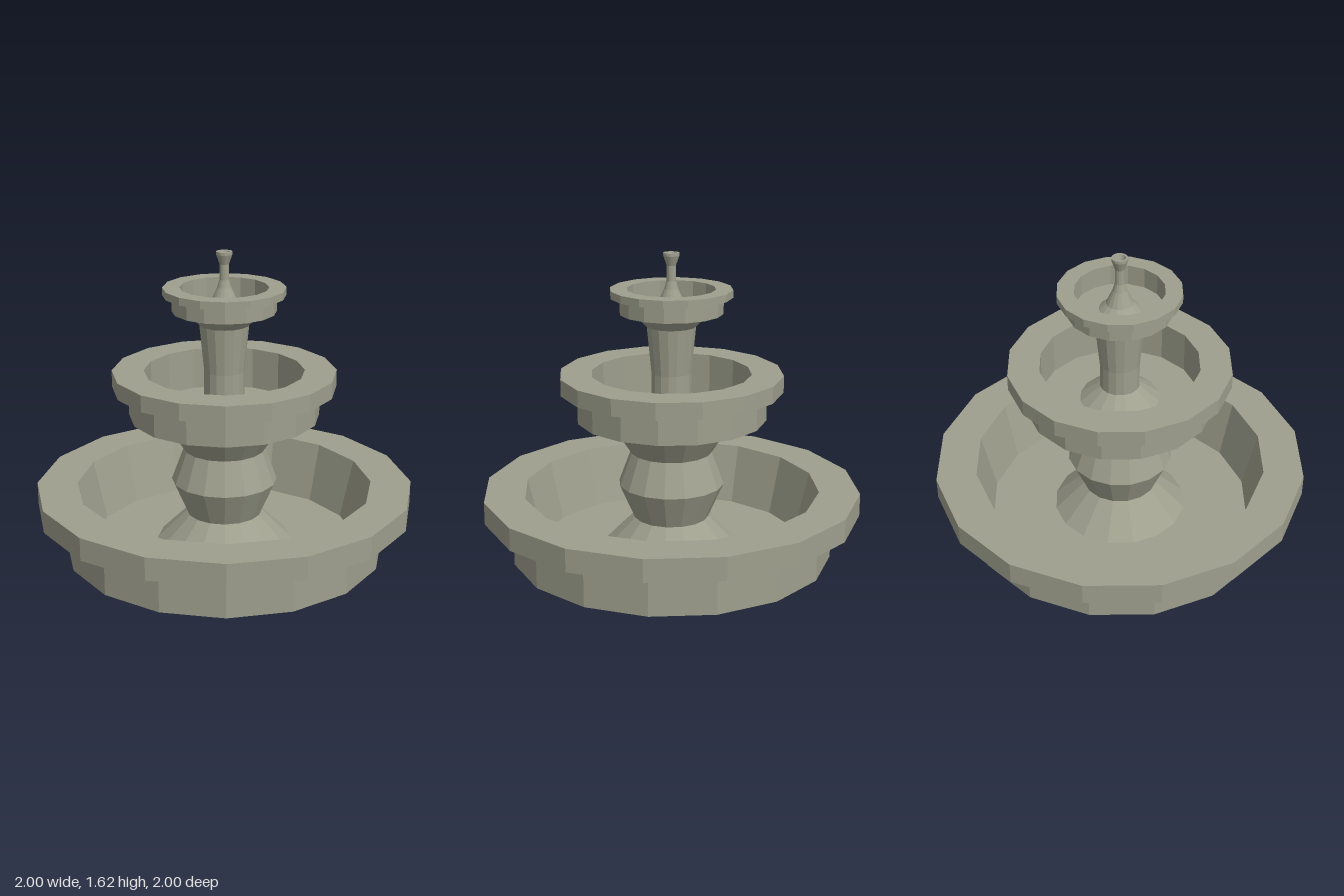
import * as THREE from 'three';

const SIDES = 16;
const stone = new THREE.MeshStandardMaterial({ color: 0x9e9f8d, flatShading: true });

// Faceted turned part; the profile [radius, y] runs up the outside and back down the inside
function turned(name, profile) {
  const points = profile.map(([r, y]) => new THREE.Vector2(r, y));
  const mesh = new THREE.Mesh(new THREE.LatheGeometry(points, SIDES), stone);
  mesh.name = name;
  return mesh;
}

// Hollow basin with a flat overhanging rim
function basin(name, { bottom, lip, top, floor, body, rim, mouth, well }) {
  return turned(name, [
    [0, bottom], [body, bottom], [body, lip], [rim, lip], [rim, top],
    [mouth, top], [well, floor], [0, floor],
  ]);
}

export function createModel() {
  const fountain = new THREE.Group();
  fountain.name = 'fountain';

  fountain.add(
    // Three tiers of basins
    basin('lowerBasin', { bottom: 0, lip: 0.24, top: 0.36, floor: 0.04, body: 0.853, rim: 1, mouth: 0.785, well: 0.71 }),
    basin('middleBasin', { bottom: 0.745, lip: 0.9, top: 0.988, floor: 0.765, body: 0.5, rim: 0.586, mouth: 0.42, well: 0.42 }),
    basin('upperBasin', { bottom: 1.305, lip: 1.39, top: 1.43, floor: 1.32, body: 0.27, rim: 0.318, mouth: 0.23, well: 0.23 }),

    // Waisted pedestal between the lower and middle basins
    turned('pedestal', [[0.36, 0.04], [0.2, 0.2], [0.28, 0.385], [0.215, 0.56], [0.335, 0.745]]),

    // Slim column with a spreading foot and a flared head
    turned('column', [[0.21, 0.765], [0.105, 0.85], [0.105, 0.988], [0.129, 1.235], [0.198, 1.305]]),

    // Spout with a hollow trumpet mouth
    turned('spout', [
      [0.107, 1.32], [0.07, 1.355], [0.036, 1.43], [0.025, 1.47], [0.024, 1.55],
      [0.042, 1.6], [0.042, 1.615], [0.03, 1.615], [0.012, 1.57], [0, 1.57],
    ]),
  );
  return fountain;
}
